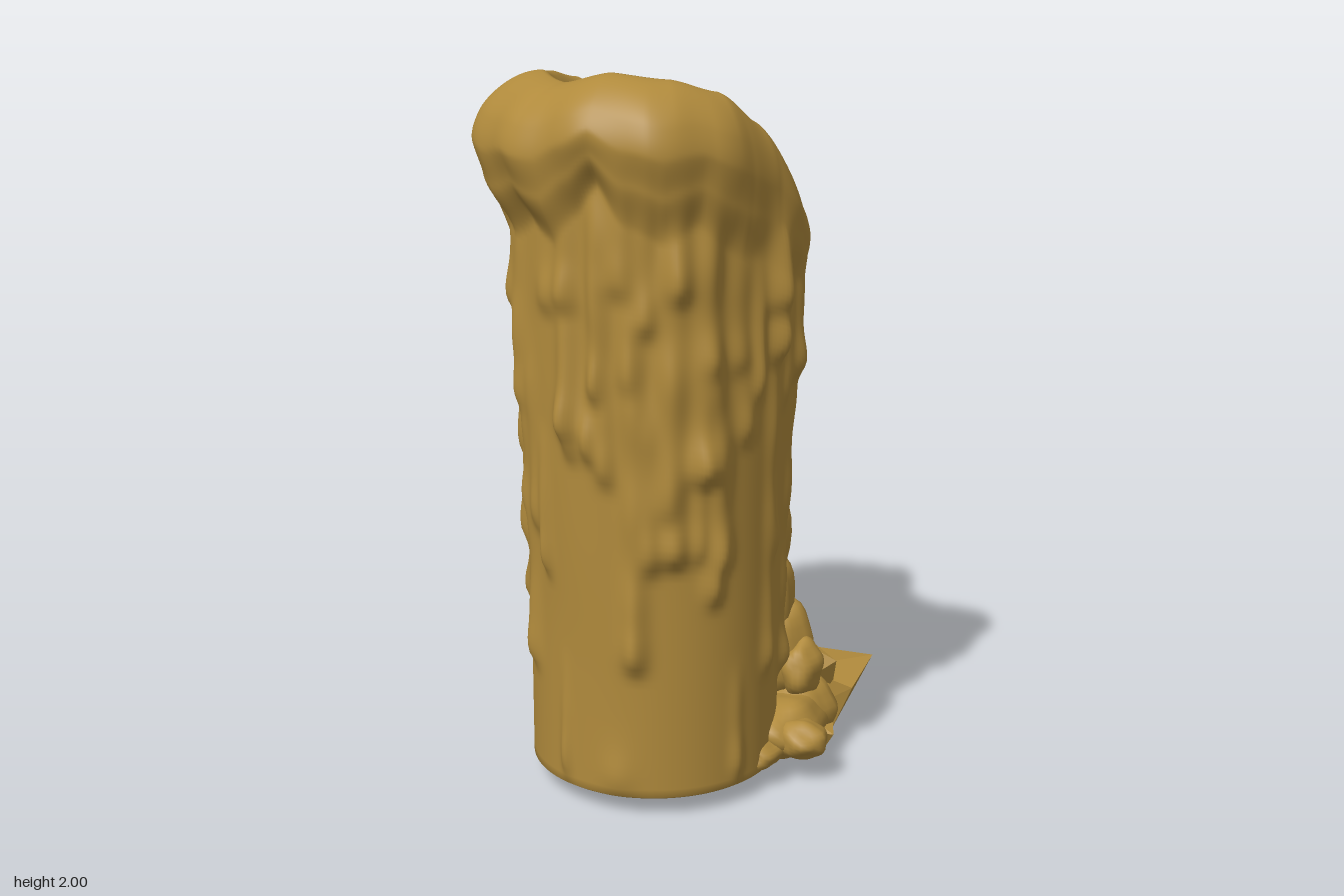
import * as THREE from 'three';
import { mergeVertices } from 'three/addons/utils/BufferGeometryUtils.js';
import { ConvexGeometry } from 'three/addons/geometries/ConvexGeometry.js';

const wax = new THREE.MeshStandardMaterial({ color: 0xb08a3c });
const CX = -0.02, CZ = 0.07, BASE = 0.05;
const rad = THREE.MathUtils.degToRad;
const step = THREE.MathUtils.smoothstep;

let seed = 7;
const rnd = () => (seed = (seed * 16807) % 2147483647) / 2147483647;

// Smooth lookup in a list of [position, value]
function lookup(list, p) {
  for (let i = 1; i < list.length; i++) {
    const [a, va] = list[i - 1], [b, vb] = list[i];
    if (p <= b) return va + (vb - va) * (0.5 * step(p, a, b) + 0.5 * THREE.MathUtils.clamp((p - a) / (b - a), 0, 1));
  }
  return list[list.length - 1][1];
}

// By angle in degrees: 0 = front, 90 = +x, 180 = back
const RIM = [[0, 2], [30, 1.985], [55, 1.95], [77, 1.87], [106, 1.7], [124, 1.6], [133, 1.56], [141, 1.53], [150, 1.52],
  [164, 1.53], [178, 1.68], [200, 1.75], [220, 1.83], [245, 1.93], [270, 1.96], [300, 1.98], [330, 1.965], [360, 2]];
const BULGE = [[0, 0.44], [20, 0.455], [45, 0.425], [62, 0.395], [80, 0.385], [95, 0.41], [112, 0.42], [130, 0.42], [139, 0.36], [150, 0.34],
  [166, 0.38], [175, 0.47], [183, 0.525], [191, 0.475], [205, 0.475], [225, 0.465], [270, 0.455], [300, 0.475],
  [320, 0.465], [345, 0.445], [360, 0.44]];
// Height of the overhang below the rim
const DEPTH = [[0, 0.26], [12, 0.36], [25, 0.42], [40, 0.33], [60, 0.42], [80, 0.34], [105, 0.3], [140, 0.2], [183, 0.28],
  [205, 0.3], [230, 0.36], [250, 0.45], [275, 0.46], [290, 0.38], [310, 0.42], [325, 0.34], [340, 0.42], [350, 0.35], [360, 0.26]];
const CAP = [[0, 0.75], [0.25, 0.93], [0.45, 1], [0.7, 0.7], [1, 0]];
// Radius of the rim's crest, and where the hollow's wall meets the floor as a share of it
const CREST = [[0, 0.28], [60, 0.29], [110, 0.3], [150, 0.3], [183, 0.33], [230, 0.31], [290, 0.29], [360, 0.28]];
const FOOT = [[0, 0.74], [90, 0.72], [150, 0.6], [230, 0.48], [290, 0.55], [360, 0.74]];

// Wax runs: [angle, top, bottom, half width, thickness]
const drips = [
  [-16, 1.7, 1.4, 0.035, 0.025], [-15, 1.4, 1.0, 0.025, 0.02], [1, 1.6, 0.94, 0.03, 0.025], [13, 1.3, 0.42, 0.035, 0.035],
  [20, 1.1, 0.7, 0.03, 0.025], [30, 1.6, 0.72, 0.04, 0.035], [42, 1.7, 0.95, 0.04, 0.035], [48, 1.2, 0.6, 0.03, 0.025],
  [-48, 1.5, 0.36, 0.035, 0.025], [-22, 0.32, 0.08, 0.02, 0.015], [-85, 1.7, 0.46, 0.045, 0.03], [-78, 1.6, 0.9, 0.035, 0.018],
  [84, 1.6, 0.35, 0.03, 0.02], [108, 1.6, 0.3, 0.035, 0.03], [133, 1.55, 0.2, 0.045, 0.045], [180, 1.65, 0.62, 0.05, 0.035],
  [187, 1.6, 0.3, 0.035, 0.025], [173, 1.5, 0.25, 0.035, 0.045], [146, 1.4, 0.7, 0.03, 0.025], [157, 1.35, 0.5, 0.03, 0.03],
  [5, 0.14, 0.06, 0.05, 0.01], [62, 0.3, 0.08, 0.025, 0.012],
];
for (let i = 0; i < 46; i++) {
  const a = 172 + i * 6.6 + rnd() * 5, bottom = 0.55 + rnd() * 0.9;
  drips.push([a, bottom + 0.1 + rnd() * 0.4, bottom, 0.022 + rnd() * 0.018, 0.012 + rnd() * 0.014]);
}

const notch = (deg) => step(deg, 132, 143) * (1 - step(deg, 162, 175));

// Outer radius of the candle at an angle and height
function outerRadius(deg, y, rim) {
  const a = rad(deg), n = notch(deg), d = rim - y;
  let r = 0.345 + 0.022 * step(y, 0.3, 1.6) - 0.04 * n * step(y, 0.15, 0.8);
  r += 0.005 * Math.sin(5 * a + 4 * y) * step(y, 0.3, 0.8) + 0.008 * n * Math.sin(17 * y + 20 * a);
  for (const [da, top, bottom, w, t] of drips) {
    const off = Math.abs(((deg - da + 540) % 360 + 360) % 360 - 180);
    if (off > 25) continue;
    const arc = rad(off) * 0.36 / w;
    const along = step(y, bottom - 0.03, bottom + 0.04) * (1 - step(y, top - 0.05, top + 0.15));
    const bulb = 0.65 + 0.5 * Math.exp(-(((y - bottom - 0.06) / 0.06) ** 2)) + 0.12 * Math.sin(y * 23 + da);
    r += t * along * bulb * Math.exp(-arc * arc);
  }
  // overhanging cap with a scalloped edge
  const depth = lookup(DEPTH, deg) * (1 + 0.05 * Math.sin(9 * a + 1));
  const bulge = lookup(BULGE, deg) + 0.005 * Math.sin(13 * a + 8 * y);
  if (d < depth) {
    const k = lookup(CAP, d / depth);
    r = Math.max(r + (bulge - r) * k, r - 0.02 * k);
  }
  // rounded rim
  const ridge = lookup(CREST, deg), h = 0.17 - 0.09 * n;
  if (d < h) r = ridge + (r - ridge) * Math.sqrt(1 - (1 - d / h) ** 2);
  return r;
}

// One closed skin: underside, outer wall, rim and hollow
function candleBody() {
  const WALL = 135, BOWL = 36, SEG = 288;
  const rows = [...Array(WALL + BOWL + 3)].map((_, j) => new THREE.Vector2(1, j));
  const g = new THREE.LatheGeometry(rows, SEG);
  const p = g.attributes.position;
  for (let i = 0; i < p.count; i++) {
    const j = i % rows.length, seg = Math.floor(i / rows.length) % SEG;
    const deg = seg * 360 / SEG, a = rad(deg), rim = lookup(RIM, deg);
    let r, y, shift = 0;
    if (j < 2) {
      y = BASE;
      r = j * (outerRadius(deg, BASE, rim) - 0.012);
    } else if (j <= WALL + 2) {
      y = BASE + 0.008 + (rim - BASE - 0.008) * Math.sin((j - 2) / WALL * Math.PI / 2);
      r = outerRadius(deg, y, rim);
    } else {
      const q = 1 - (j - WALL - 2) / BOWL;
      r = lookup(CREST, deg) * q;
      // pool floor tilts down towards the notch
      const floor = 1.6 + 0.26 * r * Math.cos(a - rad(330));
      y = floor + (rim - floor) * step(q, lookup(FOOT, deg), 1);
      shift = 0.04 * (1 - q * q);
    }
    p.setXYZ(i, CX + r * Math.sin(a) + shift, y, CZ + r * Math.cos(a));
  }
  g.deleteAttribute('uv');
  g.deleteAttribute('normal');
  const merged = mergeVertices(g, 1e-5);
  merged.computeVertexNormals();
  return merged;
}

// Lumpy ellipsoid of set wax
function blob([x, y, z, sx, sy, sz], k) {
  let g = new THREE.SphereGeometry(1, 24, 16);
  g.deleteAttribute('uv');
  g.deleteAttribute('normal');
  g = mergeVertices(g, 1e-4);
  const p = g.attributes.position, v = new THREE.Vector3();
  for (let i = 0; i < p.count; i++) {
    v.fromBufferAttribute(p, i);
    v.multiplyScalar(1 + 0.08 * Math.sin(4 * v.x + k) * Math.cos(5 * v.y + 2 * k) + 0.05 * Math.sin(7 * v.z + 3 * k));
    p.setXYZ(i, x + v.x * sx, Math.max(0.015, y + v.y * sy), z + v.z * sz);
  }
  g.computeVertexNormals();
  return g;
}

const BASE_FLOW = [
  [0.4, 0.12, 0.01, 0.075, 0.055, 0.07], [0.3, 0.09, 0.06, 0.06, 0.045, 0.09], [0.33, 0.12, -0.08, 0.1, 0.085, 0.16],
  [0.31, 0.12, -0.19, 0.12, 0.11, 0.1], [0.22, 0.13, -0.23, 0.14, 0.12, 0.12], [0.11, 0.12, -0.26, 0.14, 0.1, 0.1],
  [0.01, 0.1, -0.25, 0.12, 0.06, 0.07], [0.34, 0.26, -0.16, 0.06, 0.085, 0.08],
];
const CLUMPS = [
  [0.26, 0.3, -0.19, 0.1, 0.15, 0.1], [0.18, 0.31, -0.24, 0.11, 0.13, 0.1], [0.1, 0.36, -0.25, 0.08, 0.14, 0.07],
  [0.23, 0.46, -0.16, 0.08, 0.17, 0.08], [0.16, 0.54, -0.19, 0.08, 0.18, 0.08], [0.24, 0.66, -0.14, 0.06, 0.2, 0.07],
  [0.06, 0.66, -0.26, 0.05, 0.13, 0.06], [0.17, 0.78, -0.17, 0.05, 0.2, 0.06],
];

// Broken flat-sided pieces lying at the foot
const SHARDS = [
  [[0.26, 0.2, -0.46], [0.47, 0.21, -0.44], [0.46, 0.17, -0.27], [0.3, 0.22, -0.25], [0.41, 0.15, -0.42],
    [0.3, 0.06, -0.42], [0.4, 0.03, -0.28], [0.27, 0.05, -0.25]],
  [[-0.02, 0.13, -0.42], [0.11, 0.19, -0.515], [0.24, 0.2, -0.48], [0.3, 0.16, -0.4], [0.22, 0.23, -0.32],
    [0.08, 0.24, -0.42], [0.05, 0.06, -0.36], [0.2, 0.04, -0.43], [0.24, 0.05, -0.3], [0.06, 0.2, -0.28]],
  [[0.42, 0.03, -0.16], [0.36, 0, -0.22], [0.28, 0.01, -0.26], [0.22, 0.05, -0.16], [0.4, 0.1, -0.27], [0.45, 0.08, -0.13], [0.3, 0.12, -0.2]],
  [[0.36, 0.22, -0.2], [0.42, 0.26, -0.24], [0.4, 0.17, -0.27], [0.33, 0.3, -0.27], [0.27, 0.2, -0.3], [0.28, 0.33, -0.22]],
];

export function createModel() {
  const model = new THREE.Group();
  const add = (name, geometry) => {
    const mesh = new THREE.Mesh(geometry, wax);
    mesh.name = name;
    model.add(mesh);
  };
  add('candleBody', candleBody());
  BASE_FLOW.forEach((b, i) => add('waxPuddle', blob(b, i)));
  CLUMPS.forEach((b, i) => add('waxClump', blob(b, i + 9)));
  SHARDS.forEach((s) => add('waxShard', new ConvexGeometry(s.map((c) => new THREE.Vector3(...c)))));
  return model;
}
